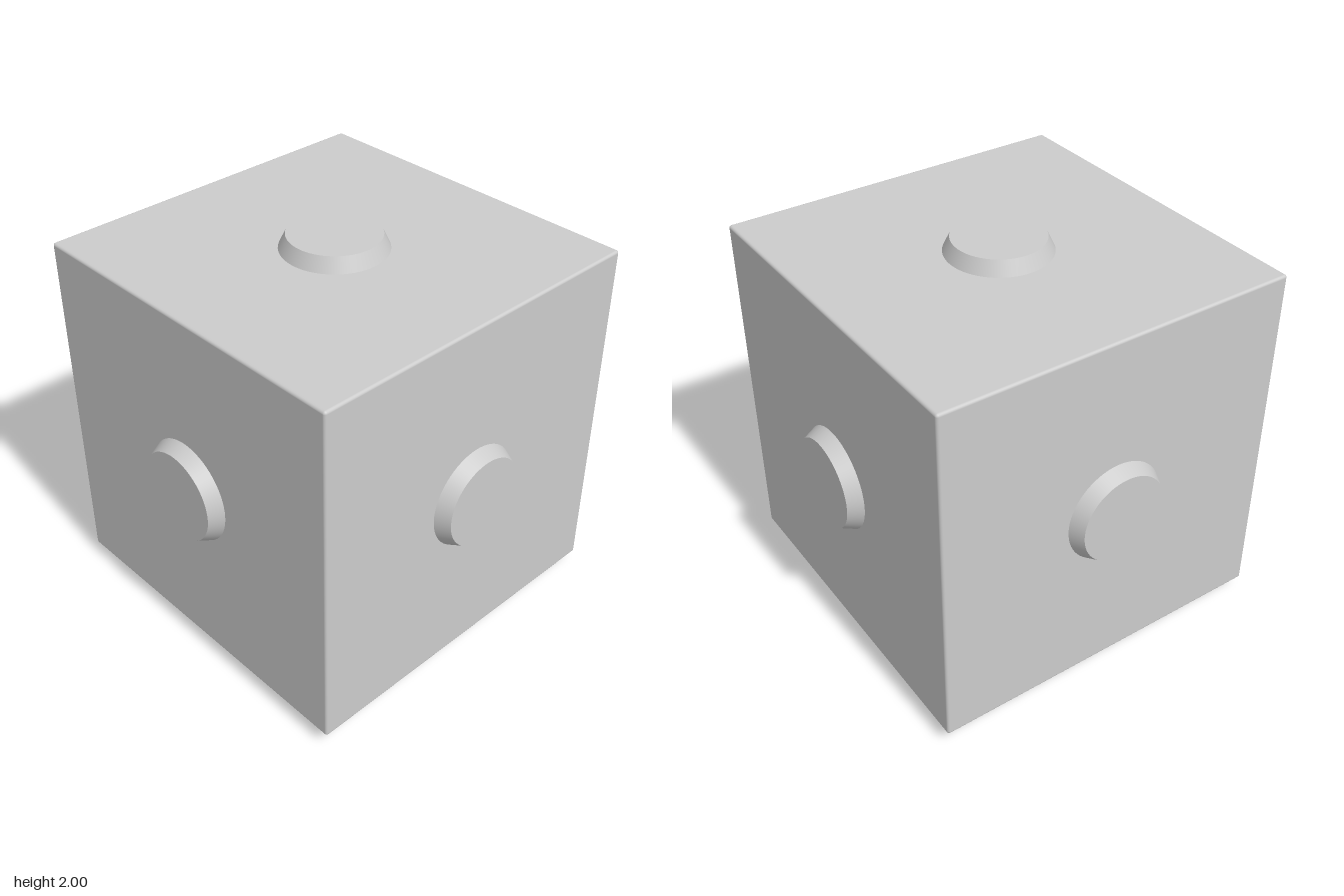
import * as THREE from 'three';
import { RoundedBoxGeometry } from 'three/addons/geometries/RoundedBoxGeometry.js';

const HALF = 0.927;      // half the cube's side
const REACH = 1;         // centre to the flat end of a stud
const SINK = 0.01;       // how far a stud is buried in the cube

export function createModel() {
  const group = new THREE.Group();
  const material = new THREE.MeshStandardMaterial({ color: 0xcccccc });

  // Cube with very slightly softened edges
  const cube = new THREE.Mesh(new RoundedBoxGeometry(2 * HALF, 2 * HALF, 2 * HALF, 3, 0.014), material);
  cube.name = 'cubeBody';
  cube.position.y = 1;
  group.add(cube);

  // Tapered round stud, pointing along +y from the cube's centre
  const height = REACH - HALF + SINK;
  const studGeometry = new THREE.CylinderGeometry(0.228, 0.267, height, 64);
  studGeometry.translate(0, REACH - height / 2, 0);

  // One stud in the middle of each face
  const up = new THREE.Vector3(0, 1, 0);
  const faces = {
    top: [0, 1, 0], bottom: [0, -1, 0],
    left: [1, 0, 0], right: [-1, 0, 0],
    front: [0, 0, 1], back: [0, 0, -1],
  };
  for (const [face, direction] of Object.entries(faces)) {
    const stud = new THREE.Mesh(studGeometry, material);
    stud.name = face + 'Stud';
    stud.quaternion.setFromUnitVectors(up, new THREE.Vector3(...direction));
    stud.position.y = 1;
    group.add(stud);
  }
  return group;
}
